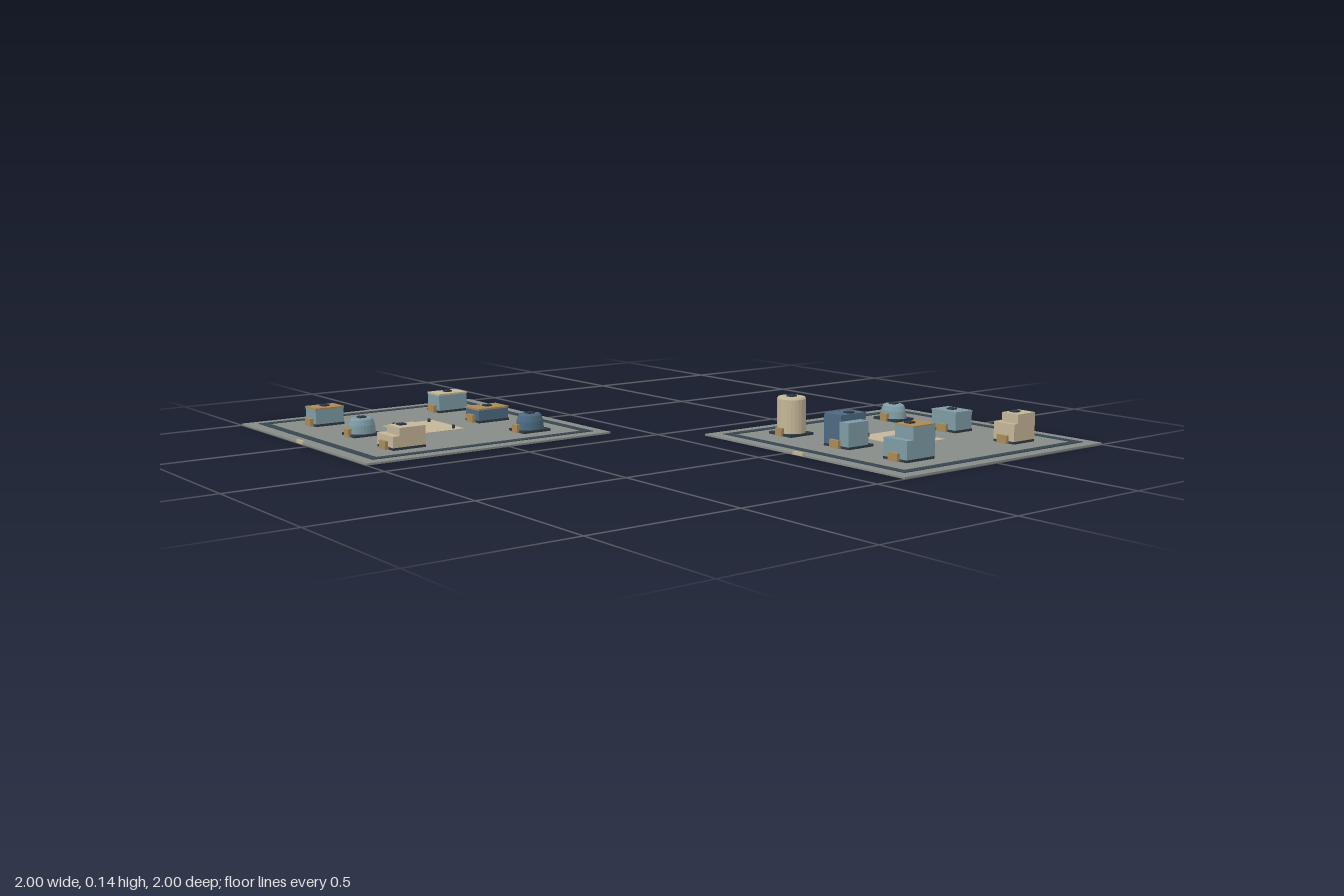
import * as THREE from 'three';

const COLORS = {
  ground: 0x878c88, road: 0x37474f, dark: 0x2f3a42, sand: 0xc4b698,
  ochre: 0xa98b57, sky: 0x7f9ca6, navy: 0x4c6a82,
};
const mats = {};
for (const k in COLORS) mats[k] = new THREE.MeshStandardMaterial({ color: COLORS[k] });

const TOP = 0.006; // upper face of the ground slab

function add(parent, name, geo, mat, x, y, z) {
  const m = new THREE.Mesh(geo, mats[mat]);
  m.name = name;
  m.position.set(x, y, z);
  parent.add(m);
  return m;
}

// box given by centre in plan, size and lower/upper height
function block(parent, name, mat, x, z, w, d, y0, y1) {
  return add(parent, name, new THREE.BoxGeometry(w, y1 - y0, d), mat, x, (y0 + y1) / 2, z);
}

function vent(g, x, z, y) {
  block(g, 'roofVent', 'dark', x, z, 0.024, 0.024, y - 0.002, y + 0.005);
}

function door(g, z, w = 0.04) {
  block(g, 'door', 'ochre', 0, z + 0.005, w, 0.012, TOP, 0.032);
}

// plain box house with a coloured roof
function house({ w, d, h, wall, roof }) {
  const g = new THREE.Group();
  block(g, 'plinth', 'dark', 0, 0, w, d, TOP, 0.014);
  block(g, 'walls', wall, 0, 0, w * 0.97, d * 0.97, 0.014, h - 0.006);
  block(g, 'roof', roof, 0, 0, w, d, h - 0.006, h);
  vent(g, 0, 0, h);
  door(g, d / 2);
  return g;
}

// lower storey with a smaller storey set back to the rear left corner
function stepped({ w, d, low, h, inX, inZ, wall, roof }) {
  const g = new THREE.Group();
  block(g, 'plinth', 'dark', 0, 0, w, d, TOP, 0.014);
  block(g, 'lowerStorey', wall, 0, 0, w, d, 0.014, low);
  block(g, 'upperStorey', wall, inX / 2, -inZ / 2, w - inX, d - inZ, low, h - 0.004);
  block(g, 'roof', roof, inX / 2, -inZ / 2, w - inX, d - inZ, h - 0.004, h);
  vent(g, 0, 0, h);
  door(g, d / 2);
  return g;
}

// round tower on a square foot; the profile is [radius, height] in relative units
function round({ w, d, h, wall, profile }) {
  const g = new THREE.Group();
  block(g, 'foot', 'dark', 0, 0, w, d, TOP, 0.014);
  const pts = profile.map(([r, y]) => new THREE.Vector2(r * 0.46, 0.014 + y * (h - 0.014)));
  const geo = new THREE.LatheGeometry(pts, 24).toNonIndexed();
  geo.computeVertexNormals();
  const body = add(g, 'roundTower', geo, wall, 0, 0, 0);
  body.scale.set(w, 1, d);
  vent(g, 0, 0, h);
  door(g, d / 2 - 0.004, 0.03);
  return g;
}

// two adjoining blocks of different height
function twin({ w, d, h }) {
  const g = new THREE.Group();
  block(g, 'plinth', 'dark', 0, 0, w, d, TOP, 0.014);
  block(g, 'tallBlock', 'navy', -0.018, 0, w - 0.036, d, 0.014, h);
  block(g, 'sideBlock', 'sky', 0.035, 0.012, 0.04, d - 0.022, 0.014, 0.09);
  vent(g, 0, 0, h);
  door(g, d / 2);
  return g;
}

const DOME = [[1, 0], [0.95, 0.55], [0.82, 0.9], [0.7, 1], [0, 1]];
const TUBE = [[1, 0], [1, 0.95], [0.92, 1], [0, 1]];

// square slab with ring road, central plaza and edge marker
function district(name, cx, cz) {
  const g = new THREE.Group();
  g.name = name;
  g.position.set(cx, 0, cz);
  block(g, 'ground', 'ground', 0, 0, 0.89, 0.89, 0, TOP);
  for (const s of [-1, 1]) {
    block(g, 'roadAcross', 'road', 0, s * 0.39, 0.806, 0.027, TOP - 0.002, TOP + 0.002);
    block(g, 'roadAlong', 'road', s * 0.39, 0, 0.027, 0.753, TOP - 0.002, TOP + 0.002);
    for (const t of [-1, 1])
      add(g, 'plazaPost', new THREE.CylinderGeometry(0.005, 0.005, 0.012, 8), 'dark', s * 0.08, 0.013, t * 0.067);
  }
  block(g, 'plaza', 'sand', 0, 0, 0.21, 0.19, TOP - 0.002, TOP + 0.002);
  block(g, 'edgeMarker', 'sand', 0, 0.443, 0.045, 0.008, TOP - 0.004, TOP + 0.006);
  return g;
}

function place(parent, name, building, x, z) {
  building.name = name;
  building.position.set(x, 0, z);
  parent.add(building);
}

export function createModel() {
  const model = new THREE.Group();
  model.name = 'twoDistricts';

  const a = district('rearLeftDistrict', 0.555, -0.555);
  place(a, 'smallDome', round({ w: 0.105, d: 0.086, h: 0.06, wall: 'sky', profile: DOME }), -0.27, -0.245);
  place(a, 'wideHouse', house({ w: 0.107, d: 0.08, h: 0.075, wall: 'sky', roof: 'sky' }), -0.006, -0.245);
  place(a, 'steppedHouse', stepped({ w: 0.083, d: 0.098, low: 0.07, h: 0.1, inX: 0.018, inZ: 0.016, wall: 'sand', roof: 'sand' }), 0.257, -0.245);
  place(a, 'tallTower', round({ w: 0.105, d: 0.1, h: 0.13, wall: 'sand', profile: TUBE }), -0.27, 0.227);
  place(a, 'twinBlock', twin({ w: 0.11, d: 0.108, h: 0.11 }), -0.005, 0.227);
  place(a, 'steppedTower', stepped({ w: 0.097, d: 0.12, low: 0.072, h: 0.114, inX: 0.022, inZ: 0.026, wall: 'sky', roof: 'ochre' }), 0.257, 0.232);

  const b = district('frontRightDistrict', -0.555, 0.555);
  place(b, 'narrowHouse', house({ w: 0.08, d: 0.115, h: 0.073, wall: 'sky', roof: 'sand' }), -0.265, -0.248);
  place(b, 'deepHouse', house({ w: 0.085, d: 0.12, h: 0.055, wall: 'navy', roof: 'ochre' }), 0, -0.248);
  place(b, 'darkDome', round({ w: 0.088, d: 0.105, h: 0.064, wall: 'navy', profile: DOME }), 0.265, -0.248);
  place(b, 'cornerHouse', house({ w: 0.077, d: 0.105, h: 0.068, wall: 'sky', roof: 'ochre' }), -0.265, 0.227);
  place(b, 'lightDome', round({ w: 0.086, d: 0.1, h: 0.063, wall: 'sky', profile: DOME }), 0, 0.227);
  place(b, 'steppedHouse', stepped({ w: 0.102, d: 0.115, low: 0.05, h: 0.075, inX: 0.022, inZ: 0.024, wall: 'sand', roof: 'sand' }), 0.262, 0.227);

  model.add(a, b);
  return model;
}
